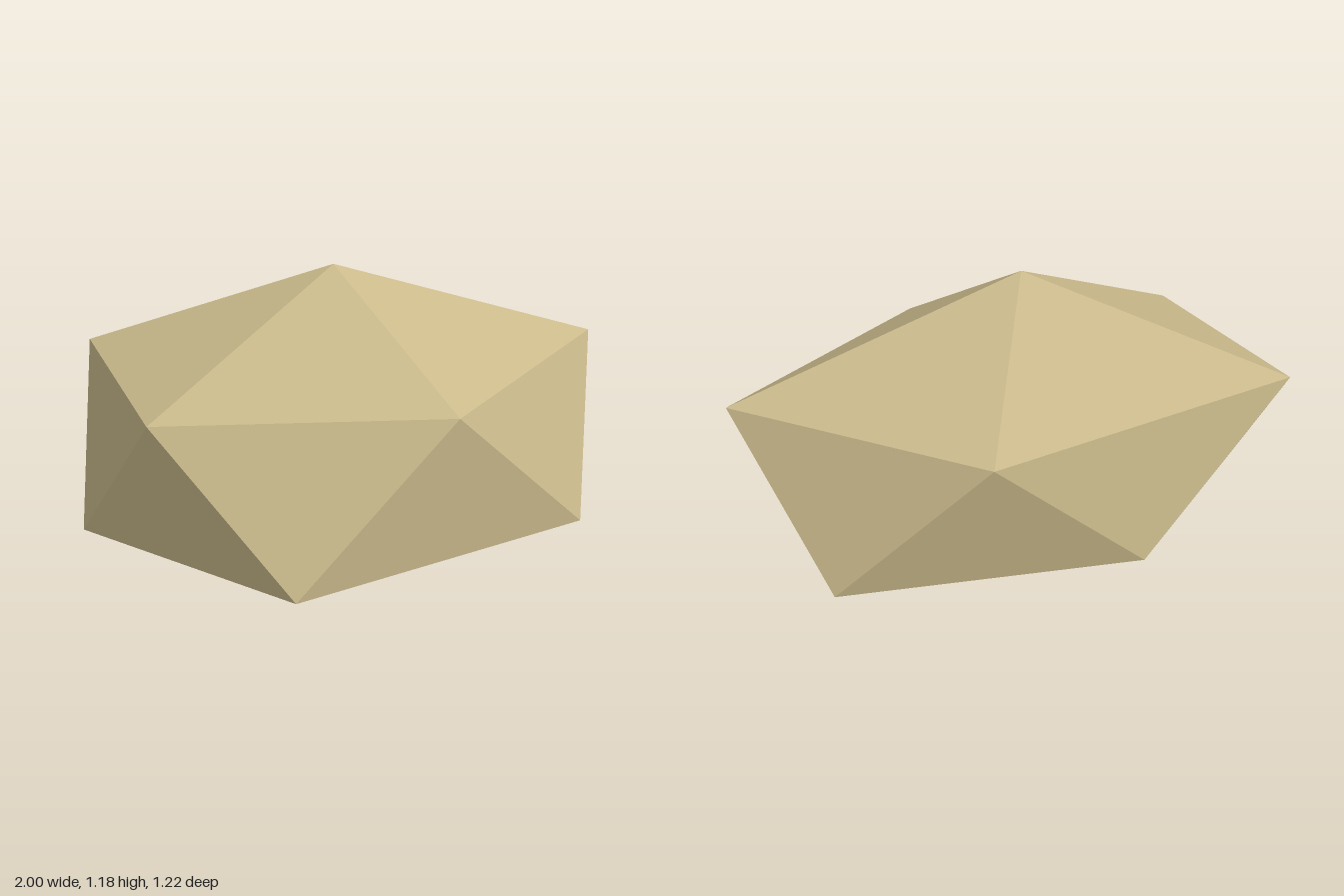
import * as THREE from 'three';

// Low-poly boulder: a stretched, irregular icosahedron made of two five-point rings and two tips.
export function createModel() {
  const group = new THREE.Group();
  group.name = 'boulder';

  const sandstone = new THREE.MeshStandardMaterial({ color: 0xc8b88a, flatShading: true });
  sandstone.name = 'sandstone';

  const top = [-0.04, 1.185, -0.045];
  const bottom = [-0.04, 0, -0.045];
  // Rings run counter-clockwise seen from above; each lower point sits between two upper ones.
  const upper = [[0.235, 0.793, 0.52], [1, 0.835, -0.045], [0.23, 0.787, -0.597], [-0.893, 0.842, -0.463], [-0.767, 0.798, 0.305]];
  const lower = [[0.812, 0.228, 0.365], [0.755, 0.248, -0.43], [-0.32, 0.275, -0.608], [-1, 0.255, -0.045], [-0.355, 0.234, 0.608]];

  const positions = [];
  const face = (a, b, c) => positions.push(...a, ...b, ...c);
  for (let i = 0; i < 5; i++) {
    const j = (i + 1) % 5;
    face(top, upper[i], upper[j]); // crown
    face(upper[i], lower[i], upper[j]); // side, pointing down
    face(lower[i], lower[j], upper[j]); // side, pointing up
    face(bottom, lower[j], lower[i]); // underside
  }

  const geometry = new THREE.BufferGeometry();
  geometry.setAttribute('position', new THREE.Float32BufferAttribute(positions, 3));
  geometry.computeVertexNormals();

  const rock = new THREE.Mesh(geometry, sandstone);
  rock.name = 'rock';
  group.add(rock);
  return group;
}
